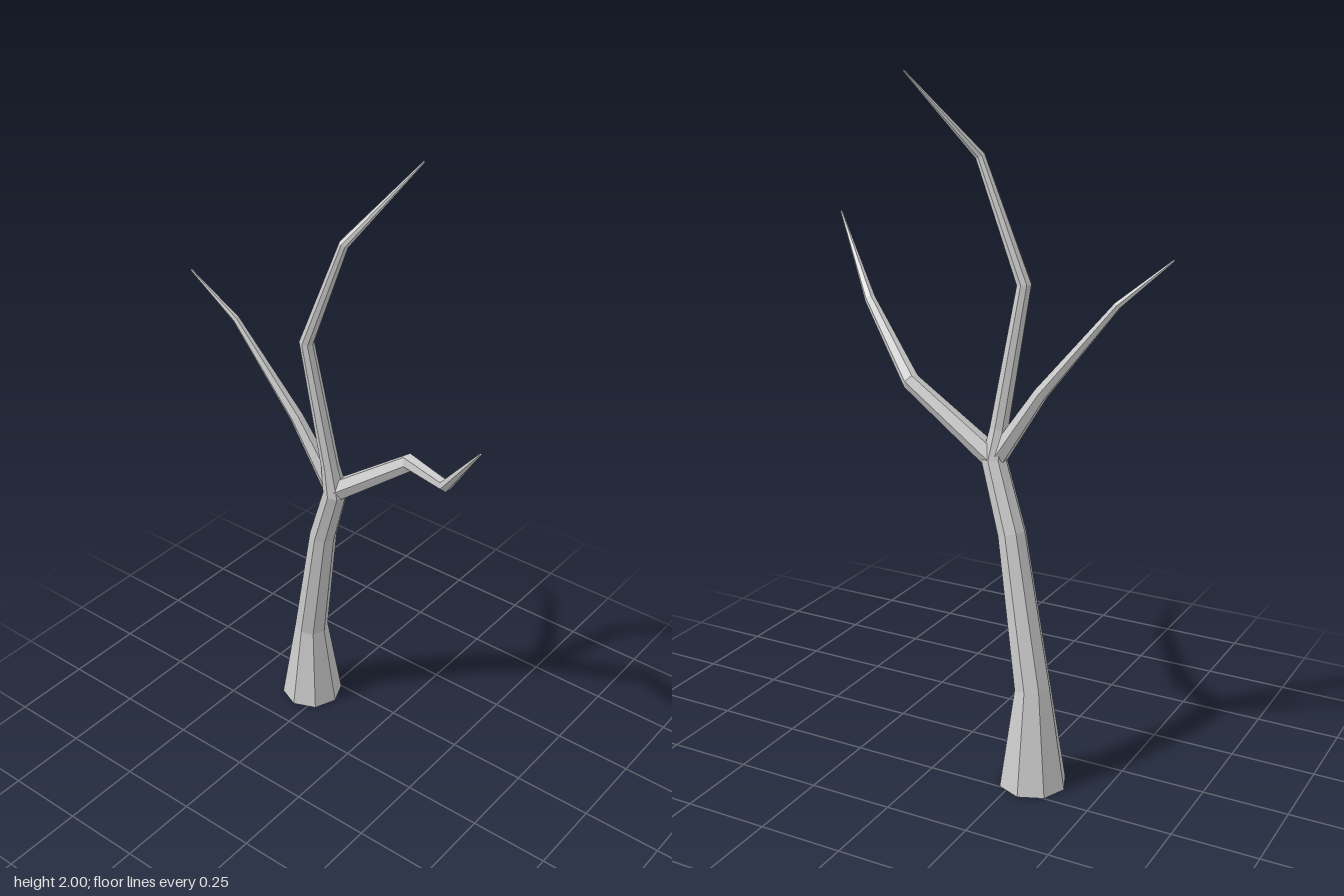
import * as THREE from 'three';

const material = new THREE.MeshStandardMaterial({ color: 0xcccccc, flatShading: true });

// Faceted limb: a closed tapering skin through points [x, y, z, radius]
function limb(name, sides, points, flatBase = false) {
  const centres = points.map(([x, y, z]) => new THREE.Vector3(x, y, z));
  const last = centres.length - 1;
  const positions = [];
  const indices = [];

  centres.forEach((c, i) => {
    // Each ring faces the average of its neighbouring segments
    const t = new THREE.Vector3();
    if (i > 0) t.add(c.clone().sub(centres[i - 1]).normalize());
    if (i < last) t.add(centres[i + 1].clone().sub(c).normalize());
    if (i === 0 && flatBase) t.set(0, 1, 0);
    t.normalize();
    const n = new THREE.Vector3(0, 0, 1).addScaledVector(t, -t.z).normalize();
    const b = t.clone().cross(n);
    for (let j = 0; j < sides; j++) {
      const a = (j / sides) * Math.PI * 2;
      const p = c.clone()
        .addScaledVector(n, Math.cos(a) * points[i][3])
        .addScaledVector(b, Math.sin(a) * points[i][3]);
      positions.push(p.x, p.y, p.z);
    }
  });

  // Side faces
  for (let i = 0; i < last; i++) {
    for (let j = 0; j < sides; j++) {
      const k = (j + 1) % sides;
      const a = i * sides + j, b = i * sides + k;
      indices.push(a, b, b + sides, a, b + sides, a + sides);
    }
  }
  // End caps
  const top = last * sides;
  for (let j = 1; j < sides - 1; j++) {
    indices.push(0, j + 1, j, top, top + j, top + j + 1);
  }

  const geometry = new THREE.BufferGeometry();
  geometry.setAttribute('position', new THREE.Float32BufferAttribute(positions, 3));
  geometry.setIndex(indices);
  geometry.computeVertexNormals();
  const mesh = new THREE.Mesh(geometry, material);
  mesh.name = name;
  return mesh;
}

export function createModel() {
  const tree = new THREE.Group();
  tree.name = 'bareTree';

  // Trunk running on into the central leader
  tree.add(limb('trunk', 8, [
    [-0.295, 0, -0.178, 0.1],
    [-0.287, 0.295, -0.17, 0.054],
    [-0.193, 0.73, -0.122, 0.042],
    [-0.12, 0.93, -0.093, 0.038],
    [-0.13, 1.02, -0.083, 0.028],
    [-0.19, 1.43, -0.054, 0.022],
    [-0.05, 1.77, -0.048, 0.015],
    [0.112, 1.999, -0.177, 0.003],
  ], true));

  // Long branch on the left, sweeping forward
  tree.add(limb('leftBranch', 6, [
    [-0.125, 0.93, -0.095, 0.034],
    [0.14, 1.128, -0.11, 0.026],
    [0.428, 1.293, 0.135, 0.017],
    [0.616, 1.53, 0.273, 0.003],
  ]));

  // Thinner branch on the right
  tree.add(limb('rightBranch', 6, [
    [-0.125, 0.93, -0.093, 0.03],
    [-0.262, 1.14, -0.088, 0.021],
    [-0.475, 1.405, -0.072, 0.011],
    [-0.618, 1.533, -0.043, 0.003],
  ]));

  return tree;
}
